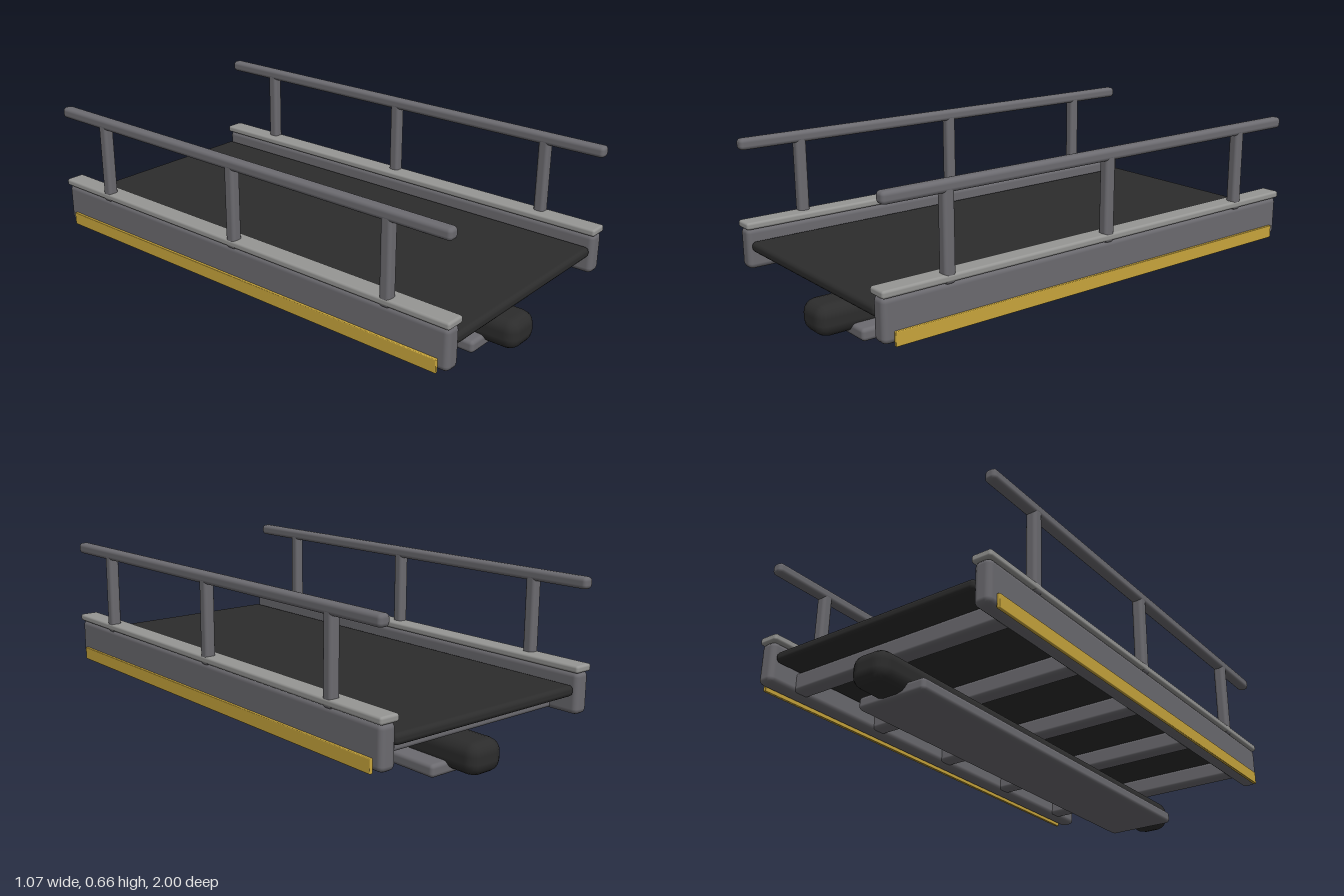
import * as THREE from 'three';
import { RoundedBoxGeometry } from 'three/addons/geometries/RoundedBoxGeometry.js';

const material = (name, color) => {
  const m = new THREE.MeshStandardMaterial({ color });
  m.name = name;
  return m;
};

export function createModel() {
  const steel = material('steel grey', 0x6c6b70);
  const lightSteel = material('light steel', 0x969694);
  const rubber = material('dark rubber', 0x2c2c2c);
  const yellow = material('safety yellow', 0xc9a63c);

  const model = new THREE.Group();
  model.name = 'walkwayBridge';

  // Bevelled box given by its x, y and z ranges
  const block = (name, mat, [x0, x1], [y0, y1], [z0, z1], radius) => {
    const geometry = new RoundedBoxGeometry(x1 - x0, y1 - y0, z1 - z0, 2, radius);
    const mesh = new THREE.Mesh(geometry, mat);
    mesh.name = name;
    mesh.position.set((x0 + x1) / 2, (y0 + y1) / 2, (z0 + z1) / 2);
    model.add(mesh);
  };

  // Deck and the cross beams carrying it
  block('deck', rubber, [-0.455, 0.455], [0.22, 0.263], [-0.988, 0.988], 0.018);
  for (let i = -2; i <= 2; i++) {
    const z = i * 0.42;
    block('crossBeam', steel, [-0.475, 0.475], [0.15, 0.225], [z - 0.035, z + 0.035], 0.014);
  }

  // Underside duct and base plate
  block('duct', rubber, [-0.08, 0.08], [0.014, 0.141], [-0.988, 0.988], 0.05);
  block('basePlate', steel, [-0.15, 0.15], [0, 0.051], [-0.857, 0.857], 0.016);

  // Mirrored sides
  for (const side of [-1, 1]) {
    const span = (inner, outer) => (side > 0 ? [inner, outer] : [-outer, -inner]);
    const label = side > 0 ? 'left' : 'right';
    block(label + 'Girder', steel, span(0.457, 0.525), [0.145, 0.311], [-0.997, 0.997], 0.022);
    block(label + 'GirderCap', lightSteel, span(0.449, 0.531), [0.308, 0.337], [-1, 1], 0.01);
    block(label + 'SafetyStripe', yellow, span(0.523, 0.536), [0.138, 0.191], [-0.957, 0.957], 0.003);
    block(label + 'Handrail', steel, span(0.483, 0.53), [0.616, 0.662], [-0.988, 0.988], 0.016);
    for (const z of [-0.73, 0, 0.73]) {
      block(label + 'RailPost', steel, span(0.484, 0.529), [0.3, 0.65], [z - 0.023, z + 0.023], 0.014);
    }
  }
  return model;
}
